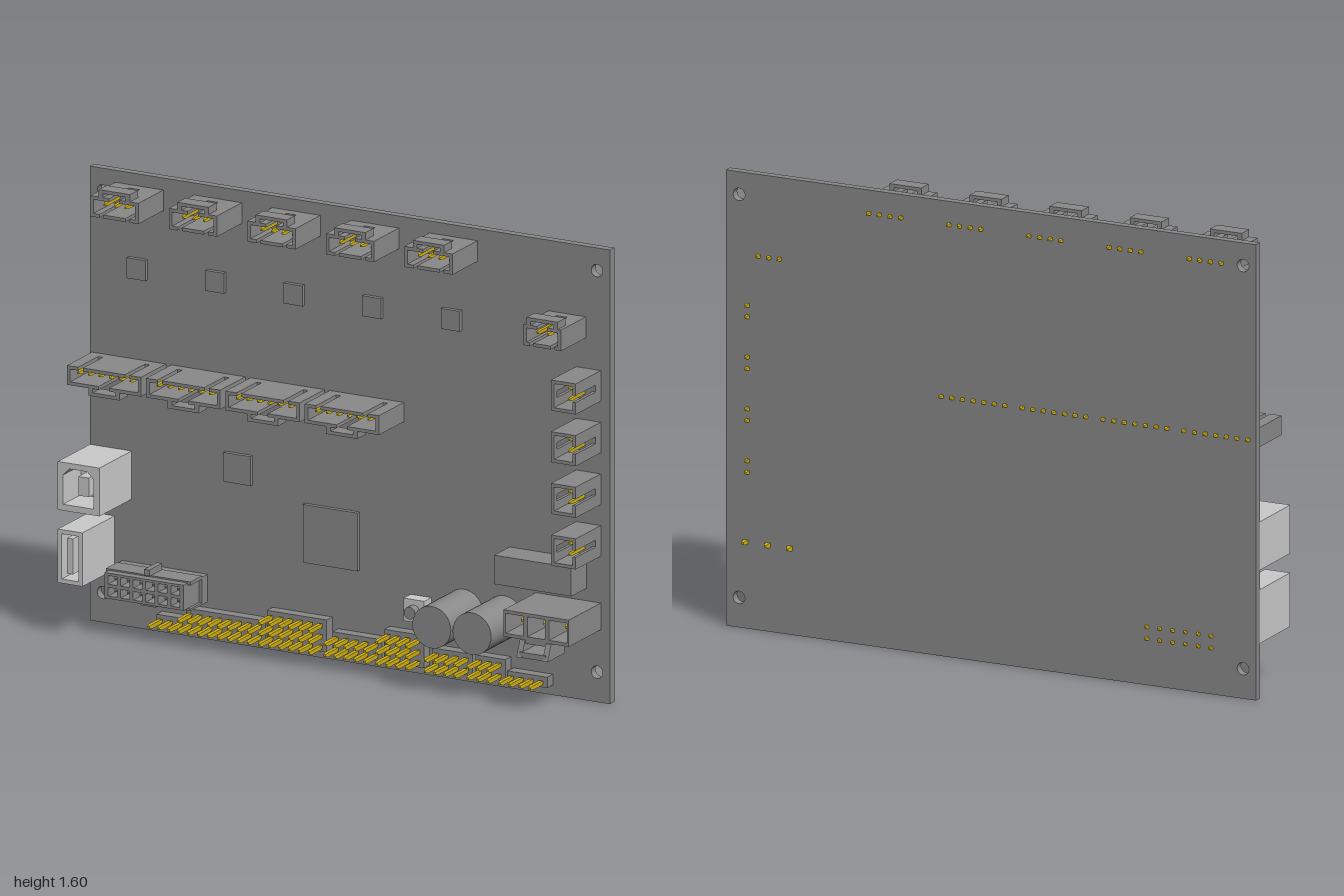
import * as THREE from 'three';
import { mergeGeometries } from 'three/addons/utils/BufferGeometryUtils.js';

const grey = new THREE.MeshStandardMaterial({ color: 0x8a8a8a });
grey.name = 'grey plastic';
const light = new THREE.MeshStandardMaterial({ color: 0xcacaca });
light.name = 'light metal';
const gold = new THREE.MeshStandardMaterial({ color: 0xd0b010 });
gold.name = 'gold contact';

const FACE = -0.1; // front surface of the board
const WALL = 0.012;

// Box given by its limits
function box(x0, x1, y0, y1, z0, z1) {
  const g = new THREE.BoxGeometry(x1 - x0, y1 - y0, z1 - z0);
  return g.translate((x0 + x1) / 2, (y0 + y1) / 2, (z0 + z1) / 2).toNonIndexed();
}

// Square pin with tapered ends, running along z
function pin(x, y, z0, z1, r = 0.008) {
  const L = z1 - z0, t = 0.012;
  const pts = [[0, 0], [r * 0.5, 0], [r, t], [r, L - t], [r * 0.5, L], [0, L]];
  const g = new THREE.LatheGeometry(pts.map(p => new THREE.Vector2(...p)), 4, Math.PI / 4)
    .rotateX(Math.PI / 2).translate(x, y, z0).toNonIndexed();
  g.computeVertexNormals();
  return g;
}

function rectPath(P, x0, x1, y0, y1, c = 0) {
  const p = new P();
  p.moveTo(x0, y0);
  p.lineTo(x1, y0);
  p.lineTo(x1, y1 - c);
  if (c) p.lineTo(x1 - c, y1);
  p.lineTo(x0 + c, y1);
  if (c) p.lineTo(x0, y1 - c);
  p.closePath();
  return p;
}

function extrude(shape, z0, z1) {
  return new THREE.ExtrudeGeometry(shape, { depth: z1 - z0, bevelEnabled: false, curveSegments: 16 })
    .translate(0, 0, z0);
}

function mesh(name, geometries, material) {
  const m = new THREE.Mesh(mergeGeometries(geometries), material);
  m.name = name;
  return m;
}

// Cuts the span a..b by slots [centre, width]
function split(a, b, slots = []) {
  const out = [];
  for (const [c, w] of slots) { out.push([a, c - w / 2]); a = c + w / 2; }
  return [...out, [a, b]];
}

// Open socket with slotted walls, centred on the origin in x and y
function socket(name, w, h, pins, { top, bottom, sides, latch } = {}) {
  const x = w / 2, y = h / 2, zf = -0.065, z1 = 0.075, parts = [box(-x, x, -y, y, FACE, zf)];
  for (const [a, b] of split(-x, x, top)) parts.push(box(a, b, y - WALL, y, zf, z1));
  for (const [a, b] of split(-x, x, bottom)) parts.push(box(a, b, -y, -y + WALL, zf, z1));
  for (const s of [-1, 1])
    for (const [a, b] of split(-y + WALL, y - WALL, sides))
      parts.push(s < 0 ? box(-x, -x + WALL, a, b, zf, z1) : box(x - WALL, x, a, b, zf, z1));
  if (sides) parts.push(box(-x, -x + WALL, -0.012, 0.012, 0.055, z1));
  if (latch) { // bridge over the middle slot
    parts.push(box(-0.06, 0.06, y + 0.014, y + 0.026, 0.02, z1));
    for (const s of [-1, 1]) parts.push(box(s * 0.052 - 0.008, s * 0.052 + 0.008, y, y + 0.014, 0.02, z1));
  }
  const g = new THREE.Group();
  g.name = name;
  g.add(mesh('socketShell', parts, grey));
  g.add(mesh('socketPins', pins.map(([px, py]) => pin(px, py, -0.15, 0.035)), gold));
  return g;
}

const row = (n, pitch) => Array.from({ length: n }, (_, i) => (i - (n - 1) / 2) * pitch);

export function createModel() {
  const model = new THREE.Group();
  const add = (o, x = 0, y = 0, turn = 0) => {
    o.position.set(x, y, 0);
    o.rotation.z = turn;
    model.add(o);
  };

  // Board with four mounting holes
  const plate = rectPath(THREE.Shape, -1, 1, 0, 1.6);
  for (const x of [-0.95, 0.95]) for (const y of [0.105, 1.52]) {
    const h = new THREE.Path();
    h.absarc(x, y, 0.022, 0, Math.PI * 2, true);
    plate.holes.push(h);
  }
  add(mesh('board', [extrude(plate, -0.13, FACE)], grey));

  // Four-pin sockets on the upper edge, each with its driver chip
  for (let i = 0; i < 5; i++) {
    const x = -0.81 + i * 0.302;
    add(socket('motorSocket', 0.185, 0.073, row(4, 0.04).map(p => [p, -0.002]),
      { top: [[0, 0.04]], bottom: [[-0.05, 0.015], [0.05, 0.015]], latch: true }), x, 1.521);
    add(mesh('driverChip', [box(-0.036, 0.036, -0.036, 0.036, FACE, -0.084)], grey), x - 0.004, 1.268);
  }
  // Seven-pin sockets across the middle, latch downward
  for (let i = 0; i < 4; i++)
    add(socket('longSocket', 0.285, 0.068, row(7, 0.04).map(p => [p, 0]),
      { top: [[0, 0.04]], bottom: [[-0.09, 0.018], [0.09, 0.018]], latch: true }), -0.85 + i * 0.305, 0.912, Math.PI);
  // Three-pin socket
  add(socket('threePinSocket', 0.145, 0.074, row(3, 0.04).map(p => [p, 0]),
    { top: [[0, 0.04]], bottom: [[-0.04, 0.015], [0.04, 0.015]], latch: true }), 0.835, 1.314);
  // Two-pin sockets down the side
  for (const y of [1.116, 0.934, 0.752, 0.57])
    add(socket('twoPinSocket', 0.095, 0.108, [[0, -0.02], [0, 0.02]], { sides: [[0, 0.024]] }), 0.917, y);

  // Processors and block component
  add(mesh('smallProcessor', [box(-0.478, -0.374, 0.57, 0.673, FACE, -0.084)], grey));
  add(mesh('mainProcessor', [box(-0.172, 0.037, 0.33, 0.535, FACE, -0.084)], grey));
  add(mesh('powerBlock', [box(0.614, 0.91, 0.395, 0.497, FACE, 0.008)], grey));

  // Capacitors
  for (const x of [0.438, 0.593]) {
    const g = new THREE.CylinderGeometry(0.074, 0.074, 0.225, 32).rotateX(Math.PI / 2).translate(0, 0, 0.0125);
    add(mesh('capacitor', [g], grey), x, 0.248);
  }

  // Push button
  add(mesh('buttonBase', [box(-0.04, 0.04, -0.04, 0.04, FACE, -0.05)], light), 0.273, 0.234);
  add(mesh('buttonCap', [new THREE.CylinderGeometry(0.022, 0.022, 0.03, 20).rotateX(Math.PI / 2)
    .translate(0, 0, -0.035)], grey), 0.273, 0.234);

  // Data ports
  const square = rectPath(THREE.Shape, -1, -0.84, 0.45, 0.62);
  square.holes.push(rectPath(THREE.Path, -0.98, -0.862, 0.472, 0.6, 0.025));
  // mirrored so the bevelled corners face inward
  add(mesh('squarePort', [extrude(square, 0.0, 0.125), box(-1, -0.84, 0.45, 0.62, FACE, 0),
    box(-0.934, -0.894, 0.503, 0.57, 0, 0.1)], light));
  const flat = rectPath(THREE.Shape, -1, -0.905, 0.193, 0.382);
  flat.holes.push(rectPath(THREE.Path, -0.985, -0.92, 0.208, 0.367));
  add(mesh('flatPort', [extrude(flat, 0.0, 0.125), box(-1, -0.905, 0.193, 0.382, FACE, 0),
    box(-0.972, -0.95, 0.225, 0.35, 0, 0.11)], light));

  // Twelve-way power connector with two rows of cells
  const cells = [];
  for (const x of row(6, 0.0482)) for (const y of [-0.021, 0.021]) cells.push([x, y]);
  const body = rectPath(THREE.Shape, -0.152, 0.152, -0.045, 0.045);
  for (const [x, y] of cells) body.holes.push(rectPath(THREE.Path, x - 0.017, x + 0.017, y - 0.015, y + 0.015));
  const powerParts = [extrude(body, -0.06, 0.05), box(-0.165, 0.163, -0.052, 0.045, FACE, -0.06),
    box(-0.163, 0.163, 0.038, 0.05, -0.06, 0.02), box(-0.163, 0.163, -0.052, -0.045, -0.06, 0.02),
    box(-0.01, 0.01, 0.05, 0.072, -0.06, 0.03), box(-0.03, 0.03, -0.06, -0.052, FACE, 0.02)];
  for (const [x, y] of cells) powerParts.push(pin(x, y, -0.07, 0.03, 0.01));
  add(mesh('powerConnector', powerParts, grey), -0.71, 0.184);
  add(mesh('powerPins', cells.map(([x, y]) => pin(x, y, -0.145, -0.11)), gold), -0.71, 0.184);

  // Three-way terminal with a wedge latch underneath
  const term = rectPath(THREE.Shape, -0.125, 0.125, -0.047, 0.047);
  for (const x of row(3, 0.084)) term.holes.push(rectPath(THREE.Path, x - 0.034, x + 0.034, -0.035, 0.035));
  const wedge = new THREE.Shape([[0.035, -0.056], [0.155, -0.056], [0.13, 0], [0.035, 0]]
    .map(p => new THREE.Vector2(...p)));
  const wedgeSide = s => new THREE.ExtrudeGeometry(wedge, { depth: 0.02, bevelEnabled: false })
    .rotateY(-Math.PI / 2).translate(s * 0.05 + 0.01, -0.047, 0);
  add(mesh('terminalBlock', [extrude(term, -0.06, 0.125), box(-0.125, 0.125, -0.047, 0.047, FACE, -0.06),
    wedgeSide(-1), wedgeSide(1), box(-0.05, 0.05, -0.103, -0.083, 0.035, 0.152),
    box(-0.05, 0.05, -0.06, -0.047, 0.035, 0.125)], grey), 0.84, 0.304);
  add(mesh('terminalPins', row(3, 0.084).map(x => pin(x, 0, -0.155, 0.07, 0.011)), gold), 0.84, 0.304);

  // Pin headers along the lower edge: [left x, columns, rows]
  const P = 0.0382;
  for (const [x, cols, rows] of [[-0.722, 3, 1], [-0.608, 8, 2], [-0.297, 6, 3], [-0.045, 5, 2],
    [0.154, 4, 3], [0.34, 4, 2], [0.505, 3, 2], [0.628, 4, 1]]) {
    const pins = [];
    for (let i = 0; i < cols; i++) for (let j = 0; j < rows; j++)
      pins.push(pin((i + 0.5) * P, (j + 0.5) * P, -0.06, 0.03, 0.01));
    add(mesh('headerBase', [box(0, cols * P, 0, rows * P, FACE, -0.06)], grey), x, 0.035);
    add(mesh('headerPins', pins, gold), x, 0.035);
  }
  return model;
}
